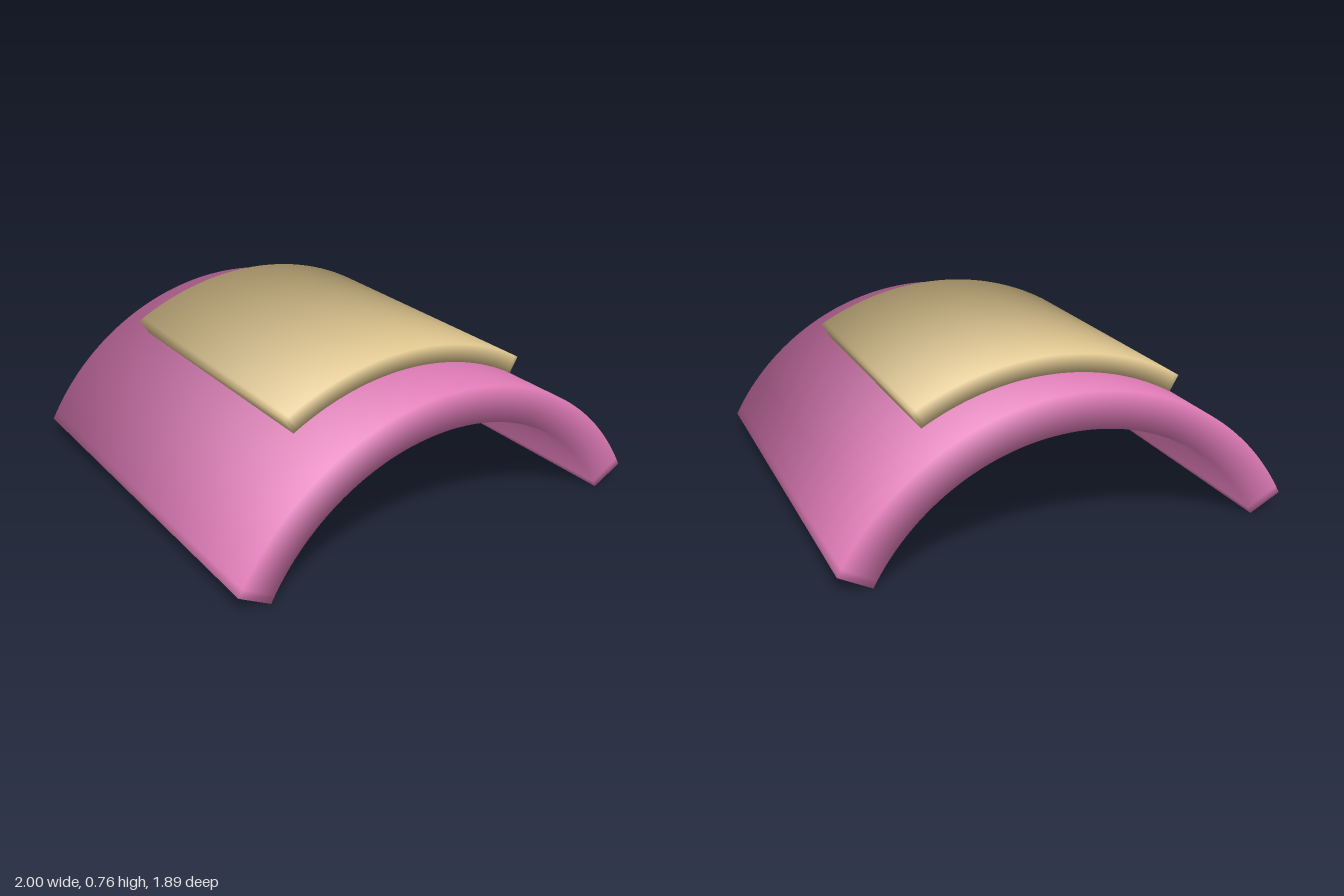
import * as THREE from 'three';

const CENTRE_Y = -0.455; // axis of all the arcs

// Curved slab: a rectangle swept round the z axis, with soft shared normals
function curvedSlab(inner, outer, halfAngle, zBack, zFront, segments = 64) {
  const corners = [
    [outer, zFront, 1, 1], [outer, zBack, 1, -1],
    [inner, zBack, -1, -1], [inner, zFront, -1, 1],
  ];
  const pos = [], nor = [], idx = [];
  for (let i = 0; i <= segments; i++) {
    const t = -halfAngle + (2 * halfAngle * i) / segments;
    const s = Math.sin(t), c = Math.cos(t);
    const end = i === 0 ? -1 : i === segments ? 1 : 0;
    for (const [r, z, radial, side] of corners) {
      pos.push(r * s, CENTRE_Y + r * c, z);
      const n = new THREE.Vector3(radial * s + end * c, radial * c - end * s, side).normalize();
      nor.push(n.x, n.y, n.z);
    }
    if (i === segments) break;
    for (let k = 0; k < 4; k++) {
      const a = i * 4 + k, b = i * 4 + ((k + 1) % 4);
      idx.push(a, a + 4, b, b, a + 4, b + 4);
    }
  }
  // End caps
  const e = segments * 4;
  idx.push(0, 1, 2, 0, 2, 3, e, e + 2, e + 1, e, e + 3, e + 2);
  const g = new THREE.BufferGeometry();
  g.setAttribute('position', new THREE.Float32BufferAttribute(pos, 3));
  g.setAttribute('normal', new THREE.Float32BufferAttribute(nor, 3));
  g.setIndex(idx);
  return g;
}

export function createModel() {
  const pink = new THREE.MeshStandardMaterial({ name: 'pink', color: 0xe07bb8 });
  const tan = new THREE.MeshStandardMaterial({ name: 'tan', color: 0xdfc68f });
  const group = new THREE.Group();
  group.name = 'archedShell';

  // Arched body
  const body = new THREE.Mesh(curvedSlab(0.975, 1.135, 1.08, -0.945, 0.945), pink);
  body.name = 'archBody';

  // Raised plate lying on the crown, set slightly back
  const plate = new THREE.Mesh(curvedSlab(1.135, 1.215, Math.PI / 6, -0.7, 0.645), tan);
  plate.name = 'topPlate';
  // Hidden underside lifts off the body by a hair to avoid overlapping surfaces
  plate.position.y = 0.001;

  group.add(body, plate);
  return group;
}
